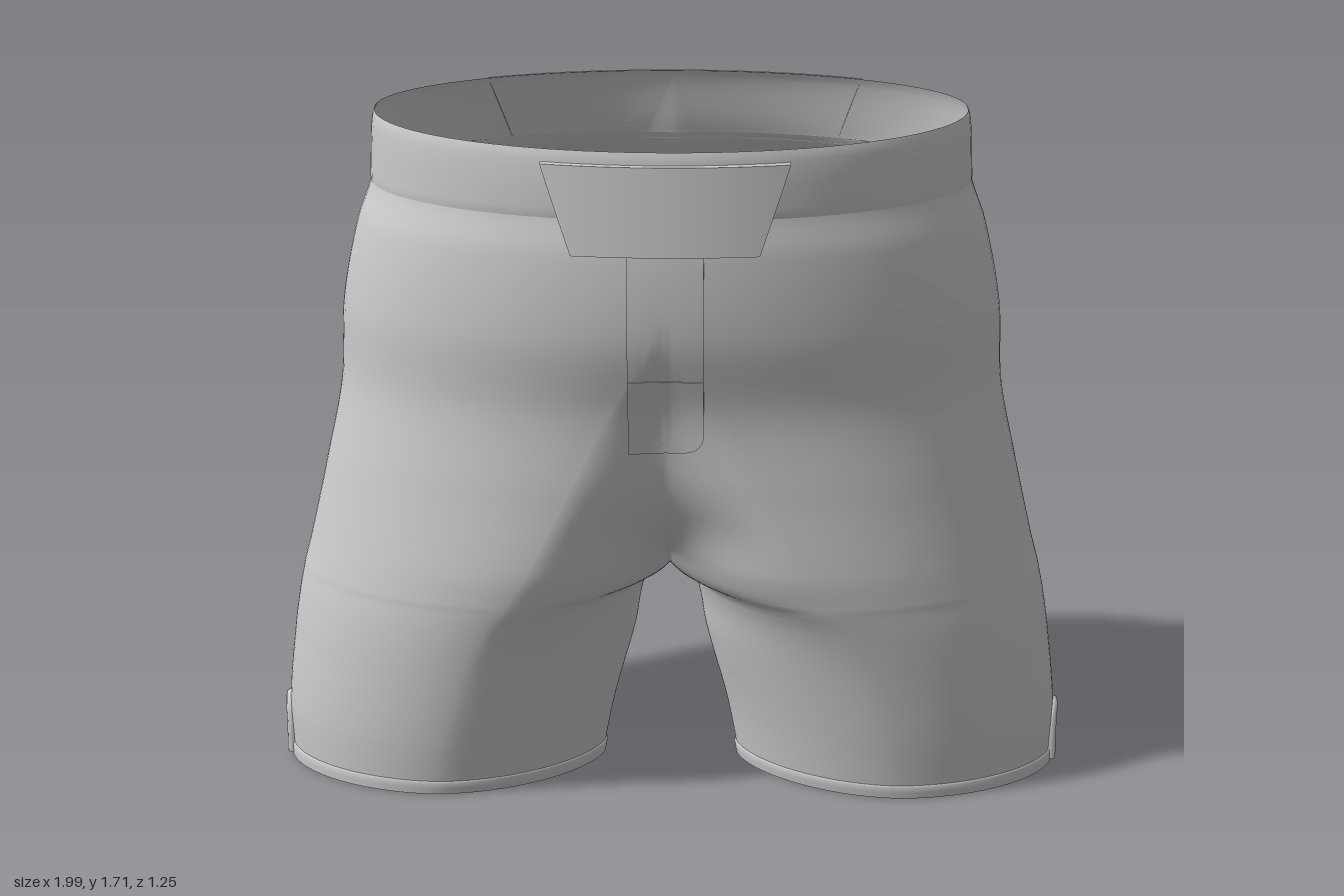
import * as THREE from 'three';
import { mergeVertices, toCreasedNormals } from 'three/addons/utils/BufferGeometryUtils.js';

const { clamp, lerp, smoothstep } = THREE.MathUtils;
const fabric = new THREE.MeshStandardMaterial({ color: 0xcccccc, side: THREE.DoubleSide });
fabric.name = 'grey fabric';

// Cross-sections of the wearer's left half, from hem to waist:
// y, outer x, side z, front peak x, front z, back peak x, back z, inner x, back roundness
const SECTIONS = [
  [0.00, 0.98, 0.08, 0.58, 0.405, 0.57, -0.325, 0.175, 0.53],
  [0.15, 0.985, 0.08, 0.55, 0.435, 0.55, -0.335, 0.145, 0.53],
  [0.35, 0.965, 0.08, 0.49, 0.47, 0.49, -0.345, 0.09, 0.55],
  [0.45, 0.95, 0.08, 0.44, 0.49, 0.44, -0.385, 0.072, 0.58],
  [0.50, 0.94, 0.08, 0.40, 0.502, 0.41, -0.42, 0.05, 0.61],
  [0.52, 0.936, 0.08, 0.39, 0.506, 0.40, -0.433, 0.0, 0.63],
  [0.60, 0.915, 0.08, 0.34, 0.517, 0.35, -0.48, -0.06, 0.7],
  [0.80, 0.87, 0.07, 0.24, 0.522, 0.28, -0.575, -0.25, 0.8],
  [1.00, 0.83, 0.06, 0.14, 0.535, 0.23, -0.625, -0.3, 0.85],
  [1.20, 0.82, 0.06, 0.03, 0.59, 0.21, -0.61, -0.33, 0.8],
  [1.40, 0.78, 0.07, 0.0, 0.605, 0.18, -0.52, -0.45, 0.65],
  [1.52, 0.74, 0.07, 0.0, 0.595, 0.08, -0.415, -0.5, 0.5],
  [1.68, 0.73, 0.08, 0.0, 0.60, 0.0, -0.365, -0.5, 0.5],
];
const INNER_Z = 0.08;

// Smooth interpolation of the sections at height y, pushed outward by off
function section(y, off = 0) {
  const S = SECTIONS, last = S.length - 1;
  let k = 0;
  while (k < last - 1 && y > S[k + 1][0]) k++;
  const h = S[k + 1][0] - S[k][0];
  const t = clamp((y - S[k][0]) / h, 0, 1);
  const slope = (i, c) => {
    const a = S[Math.max(i - 1, 0)], b = S[Math.min(i + 1, last)];
    return (b[c] - a[c]) / (b[0] - a[0]);
  };
  const v = S[k].map((p, c) => {
    const q = S[k + 1][c], t2 = t * t, t3 = t2 * t;
    return p * (2 * t3 - 3 * t2 + 1) + q * (3 * t2 - 2 * t3)
      + h * (slope(k, c) * (t3 - 2 * t2 + t) + slope(k + 1, c) * (t3 - t2));
  });
  const leg = 1 - smoothstep(y, 0.5, 1);
  return {
    xo: v[1] + off, zs: v[2],
    xi: Math.abs(v[7]) < 1e-6 ? 0 : v[7] > 0 ? v[7] - off : v[7],
    front: { x: Math.max(0, v[3]), z: v[4] + off, p: 2 - 0.2 * leg, e: 0.5 + 0.05 * leg },
    back: { x: Math.max(0, v[5]), z: v[6] - off, p: 2 - (v[8] - 0.5) * 1.1, e: v[8] },
    inner: { p: 2 - 0.2 * leg, e: 0.5 + 0.13 * leg },
  };
}

// Depth at x, between the peak of the front or back and the inner leg or centre line
function innerZ(s, peak, x) {
  if (peak.x < 1e-6) return peak.z;
  const curve = (q) => INNER_Z + (peak.z - INNER_Z)
    * Math.max(0, 1 - clamp((peak.x - q) / (peak.x - s.xi), 0, 1) ** s.inner.p) ** s.inner.e;
  if (s.xi >= 0) return curve(x);
  // Above the crotch the two halves blend softly across the centre
  const soft = lerp(curve(0), peak.z, smoothstep(x, 0, peak.x));
  return lerp(curve(x), soft, 0.85 * smoothstep(-s.xi, 0.01, 0.2));
}

// Depth at x, between the peak and the side
function outerZ(s, peak, x) {
  const u = clamp((x - peak.x) / (s.xo - peak.x), 0, 1);
  return s.zs + (peak.z - s.zs) * (1 - u ** peak.p) ** peak.e;
}

// The waist rises towards the back
function tilt(y, z) {
  return y - 0.062 * (z - 0.115) * smoothstep(y, 1.3, 1.68);
}

// One outline: inner front, front, side, back, inner back
const Q = 24;
function outline(y, off) {
  const s = section(y, off), pts = [];
  const inner = (peak, f) => {
    const limit = s.xi >= 0 ? 1 : peak.x / (peak.x - s.xi);
    const a = f * Math.asin(limit ** (s.inner.p / 2));
    const x = Math.max(0, peak.x - (peak.x - s.xi) * Math.sin(a) ** (2 / s.inner.p));
    pts.push([x, innerZ(s, peak, x)]);
  };
  const outer = (peak, f) => {
    const x = peak.x + (s.xo - peak.x) * Math.sin(f * Math.PI / 2) ** (2 / peak.p);
    pts.push([x, outerZ(s, peak, x)]);
  };
  for (let j = 0; j < Q; j++) inner(s.front, 1 - j / Q);
  for (let j = 0; j < Q; j++) outer(s.front, j / Q);
  for (let j = 0; j < Q; j++) outer(s.back, 1 - j / Q);
  for (let j = 0; j <= Q; j++) inner(s.back, j / Q);
  return pts;
}

function build(pos, idx) {
  const g = new THREE.BufferGeometry();
  g.setAttribute('position', new THREE.Float32BufferAttribute(pos, 3));
  g.setIndex(idx);
  return g;
}

function mesh(name, g) {
  if (!g.attributes.normal) g.computeVertexNormals();
  const m = new THREE.Mesh(g, fabric);
  m.name = name;
  return m;
}

// Mirrored cloth shell between two heights, with the side notches left open at the hem
function shell(name, heights, offset) {
  const pos = [], idx = [], n = 4 * Q + 1;
  for (const m of [1, -1]) {
    const base = pos.length / 3;
    heights.forEach((y, i) => {
      outline(y, offset(y)).forEach(([x, z]) => pos.push(m * x, tilt(y, z), z));
      if (!i) return;
      for (let j = 0; j < n - 1; j++) {
        if (y < 0.131 && j >= 2 * Q - 2 && j < 2 * Q + 2) continue;
        const a = base + (i - 1) * n + j, b = a + 1, c = a + n, d = c + 1;
        if (m > 0) idx.push(a, b, d, a, d, c);
        else idx.push(a, d, b, a, c, d);
      }
    });
  }
  return mesh(name, mergeVertices(build(pos, idx), 1e-4));
}

// Depth of the cloth at (x, y) on the front (+1) or back (-1)
function clothZ(x, y, side) {
  const s = section(y), ax = Math.abs(x), peak = side > 0 ? s.front : s.back;
  return ax < peak.x ? innerZ(s, peak, ax) : outerZ(s, peak, ax);
}

// Raised panel over the cloth; left and right give its edges for t = 0 (bottom) to 1,
// and a stiff panel keeps the curve of its lower edge all the way up
function panel(name, side, y0, y1, left, right, off, stiff = false) {
  const pos = [], idx = [], N = 24, w = N + 3;
  for (let i = -1; i <= N + 1; i++) {
    for (let j = -1; j <= N + 1; j++) {
      const t = clamp(i / N, 0, 1), f = clamp(j / N, 0, 1);
      const rim = i < 0 || j < 0 || i > N || j > N;
      const y = lerp(y0, y1, t), x = lerp(left(t), right(t), f);
      const z = rim ? clothZ(x, y, side) + side * 0.002 : clothZ(x, stiff ? y0 : y, side) + side * off;
      pos.push(x, tilt(y, z), z);
      if (i < 0 || j < 0) continue;
      const d = (i + 1) * w + j + 1, c = d - 1, b = d - w, a = b - 1;
      if (side > 0) idx.push(a, b, d, a, d, c);
      else idx.push(a, d, b, a, c, d);
    }
  }
  return mesh(name, toCreasedNormals(build(pos, idx), 0.7));
}

const range = (a, b, n) => Array.from({ length: n + 1 }, (_, i) => a + (b - a) * i / n);

export function createModel() {
  const group = new THREE.Group();

  // Main cloth and the softly padded waistband
  group.add(shell('shorts', [...range(0, 0.13, 8), ...range(0.14, 0.48, 17),
    ...range(0.485, 0.62, 27), ...range(0.64, 1.52, 44)], () => 0));
  group.add(shell('waistband', range(1.505, 1.68, 14),
    (y) => 0.008 * Math.sqrt(Math.max(0, Math.sin(Math.PI * (y - 1.505) / 0.175)))));

  // Hem fold, outside and inside
  group.add(shell('hem', [0, 0.015, 0.03, 0.034], (y) => (y > 0.031 ? 0 : 0.005)));
  group.add(shell('hemLining', [0, 0.02, 0.05], (y) => (y > 0 ? -0.008 : 0)));

  // Front closure tab and fly
  const tabEdge = (t) => 0.22 + 0.07 * t;
  group.add(panel('closureTab', 1, 1.415, 1.65, (t) => -tabEdge(t), tabEdge, 0.022, true));
  const flyRight = (t) => 0.09 - 0.05 * (1 - Math.sqrt(1 - Math.max(0, 1 - t / 0.1) ** 2));
  group.add(panel('fly', 1, 0.91, 1.42, () => -0.09, flyRight, 0.008));
  group.add(panel('flyFlap', 1, 0.91, 1.1, () => -0.09, (t) => flyRight(t * 0.38), 0.013));

  // Back yoke dropping below the waistband
  const yokeEdge = (t) => 0.39 + 0.09 * t;
  group.add(panel('backYoke', -1, 1.415, 1.68, (t) => -yokeEdge(t), yokeEdge, 0.012));

  // Piping around the side notches
  for (const m of [1, -1]) {
    const path = [[0, 0.045], [0.08, 0.045], [0.125, 0.032], [0.14, 0], [0.125, -0.032], [0.08, -0.045], [0, -0.045]]
      .map(([y, z]) => new THREE.Vector3(m * (0.984 - z * z * 3), y + 0.008, 0.085 + z));
    const tube = new THREE.TubeGeometry(new THREE.CatmullRomCurve3(path), 32, 0.013, 8);
    group.add(mesh(m > 0 ? 'leftNotchPiping' : 'rightNotchPiping', tube));
  }
  return group;
}
